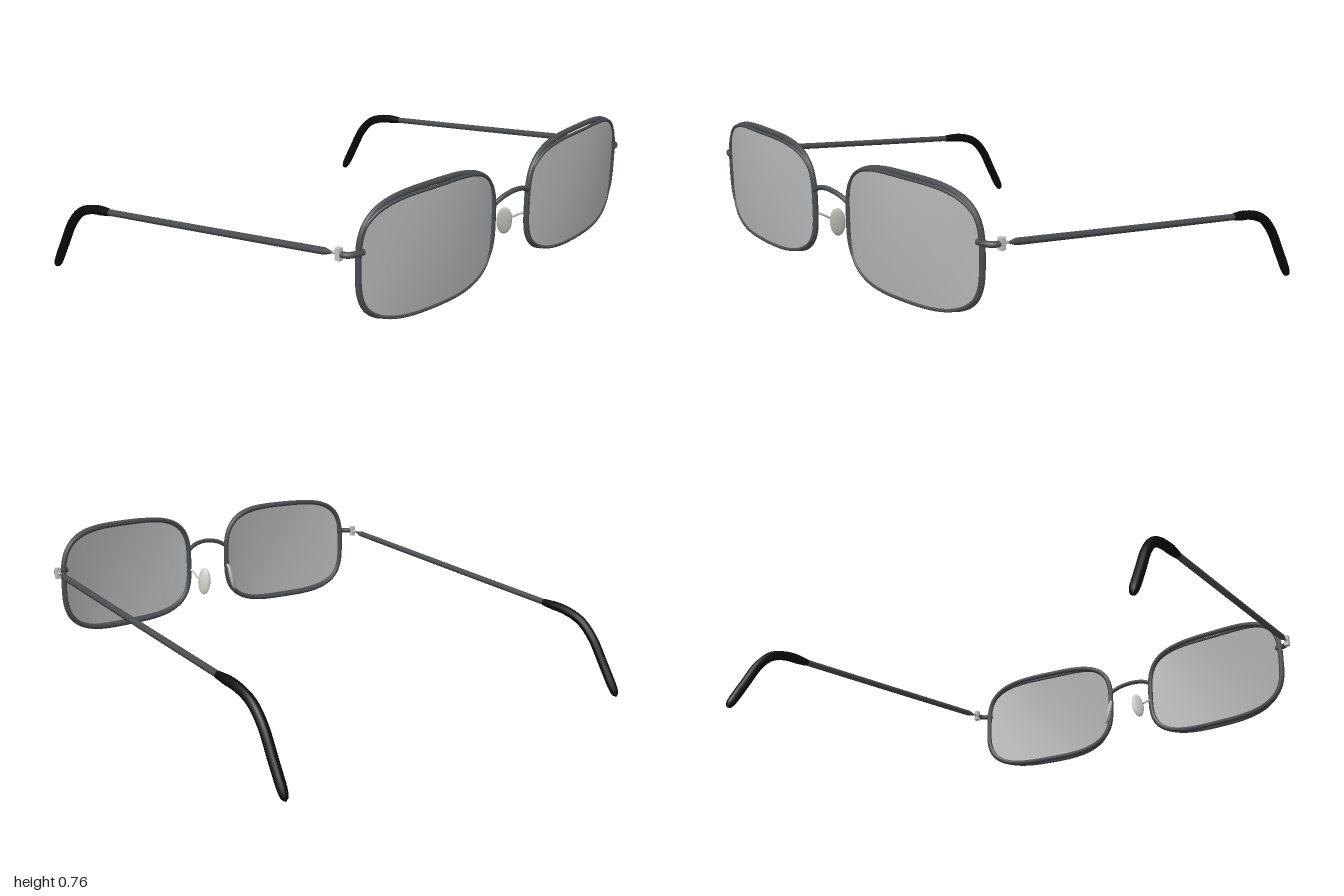
import * as THREE from 'three';

const V = (x, y, z) => new THREE.Vector3(x, y, z);
const mat = (name, color, extra = {}) => {
  const m = new THREE.MeshStandardMaterial({ color, ...extra });
  m.name = name;
  return m;
};

// Lens outline centre, half sizes and roundness
const CX = 0.49, CY = 0.505, HW = 0.372, HH = 0.249, POWER = 3.3;

// Point on the rounded-rectangle outline, from -1 to 1 on both axes
function outline(t) {
  const f = (c) => Math.sign(c) * Math.pow(Math.abs(c), 2 / POWER);
  return [f(Math.cos(t)), f(Math.sin(t))];
}
// Depth of the rim, swept back towards the temple
const rimZ = (u) => 0.898 - 0.027 * u + 0.004 * (1 - u * u);
// Depth of the lens, bowed forward mostly across its width
const lensZ = (u, v) => rimZ(u) + 0.052 * (1 - u * u) * (1 - 0.2 * v * v);

function loopTube(depth, radius) {
  const pts = [];
  for (let i = 0; i < 72; i++) {
    const [u, v] = outline((i / 72) * Math.PI * 2);
    pts.push(V(CX + HW * u, CY + HH * v, depth(u, v)));
  }
  return new THREE.TubeGeometry(new THREE.CatmullRomCurve3(pts, true), 144, radius, 10, true);
}

// Tube whose thickness follows a rule along its length
function taperedTube(pts, radius, segments = 24, taper = null) {
  const curve = new THREE.CatmullRomCurve3(pts);
  const geo = new THREE.TubeGeometry(curve, segments, radius, 12);
  if (taper) {
    const p = geo.attributes.position, q = V(0, 0, 0);
    for (let i = 0; i < p.count; i++) {
      const t = Math.floor(i / 13) / segments;
      const c = curve.getPointAt(t);
      q.fromBufferAttribute(p, i).sub(c).multiplyScalar(taper(t)).add(c);
      p.setXYZ(i, q.x, q.y, q.z);
    }
    geo.computeVertexNormals();
  }
  return geo;
}

// Bowed lens sheet made of concentric outlines
function lensSheet() {
  const rings = 14, steps = 72, pos = [], idx = [];
  for (let r = 0; r <= rings; r++) {
    for (let i = 0; i < steps; i++) {
      const [a, b] = outline((i / steps) * Math.PI * 2);
      const u = (a * r) / rings, v = (b * r) / rings;
      pos.push(CX + HW * u, CY + HH * v, lensZ(u, v));
      if (r < rings) {
        const j = (i + 1) % steps, p = r * steps, q = p + steps;
        idx.push(p + i, q + i, q + j);
        if (r > 0) idx.push(p + i, q + j, p + j);
      }
    }
  }
  const geo = new THREE.BufferGeometry();
  geo.setAttribute('position', new THREE.Float32BufferAttribute(pos, 3));
  geo.setIndex(idx);
  geo.computeVertexNormals();
  // the centre is a ring of coincident points, so share one normal
  for (let i = 0; i < steps; i++) geo.attributes.normal.setXYZ(i, 0.07, 0, 0.997);
  return geo;
}

// Flip a geometry across x and turn its faces the right way round again
function mirrored(geo) {
  const g = geo.clone().scale(-1, 1, 1);
  const a = g.index.array;
  for (let i = 0; i < a.length; i += 3) [a[i], a[i + 1]] = [a[i + 1], a[i]];
  return g;
}

export function createModel() {
  const model = new THREE.Group();
  model.name = 'eyeglasses';
  const metal = mat('gunmetal frame', 0x4a4d50);
  const glass = mat('grey lens', 0xb6b6b6, { side: THREE.DoubleSide });
  const rubber = mat('black rubber', 0x0b0b0b);
  const silver = mat('silver fitting', 0xc4c6c6);
  const padMat = mat('pale nose pad', 0xc2c2be);

  const add = (name, geo, material, parent = model) => {
    const mesh = new THREE.Mesh(geo, material);
    mesh.name = name;
    parent.add(mesh);
  };

  // Parts of one side, built at +x
  const parts = [];
  const part = (name, geo, material) => parts.push([name, geo, material]);

  part('rim', loopTube(rimZ, 0.0125), metal);
  part('lensEdge', loopTube(lensZ, 0.007), metal);
  part('lens', lensSheet(), glass);

  // End piece curling from the rim back to the hinge
  part('endPiece', taperedTube(
    [V(0.84, 0.57, 0.877), V(0.88, 0.57, 0.872), V(0.906, 0.57, 0.856), V(0.915, 0.57, 0.83)], 0.0125), metal);
  part('hinge', new THREE.BoxGeometry(0.022, 0.05, 0.022).translate(0.916, 0.57, 0.825), silver);
  part('hingePin', new THREE.CylinderGeometry(0.007, 0.007, 0.03, 10)
    .rotateX(Math.PI / 2).translate(0.916, 0.57, 0.81), silver);

  // Temple arm, closed at the hinge end
  part('temple', taperedTube([V(0.917, 0.569, 0.808), V(0.941, 0.477, 0.14), V(0.965, 0.386, -0.53)],
    0.0145, 24, (t) => (t === 0 ? 0 : 1)), metal);

  // Thick ear tip, hooked downwards and rounded off
  part('earTip', taperedTube(
    [V(0.965, 0.388, -0.515), V(0.968, 0.37, -0.645), V(0.971, 0.334, -0.735),
      V(0.974, 0.265, -0.805), V(0.979, 0.14, -0.878), V(0.983, 0.008, -0.953)],
    0.0215, 48, (t) => Math.min(1, 0.75 + t * 2.5) * Math.sqrt(Math.max(0, 1 - Math.pow(t, 28)))), rubber);

  // Nose pad and the wire holding it
  const pad = new THREE.SphereGeometry(1, 24, 16).scale(0.012, 0.068, 0.033);
  pad.rotateY(0.62).rotateX(0.14).rotateZ(0.17).translate(0.086, 0.417, 0.837);
  part('nosePad', pad, padMat);
  part('padWire', taperedTube(
    [V(0.118, 0.47, 0.922), V(0.108, 0.455, 0.893), V(0.107, 0.435, 0.862), V(0.09, 0.425, 0.838)], 0.005), silver);

  for (const side of ['left', 'right']) {
    const half = new THREE.Group();
    half.name = side + 'Side';
    for (const [name, geo, material] of parts)
      add(name, side === 'left' ? geo : mirrored(geo), material, half);
    model.add(half);
  }

  // Arched bridge joining the rims
  add('bridge', taperedTube(
    [V(-0.122, 0.565, 0.925), V(-0.07, 0.592, 0.936), V(0, 0.603, 0.941),
      V(0.07, 0.592, 0.936), V(0.122, 0.565, 0.925)], 0.0105, 32), metal);

  return model;
}
